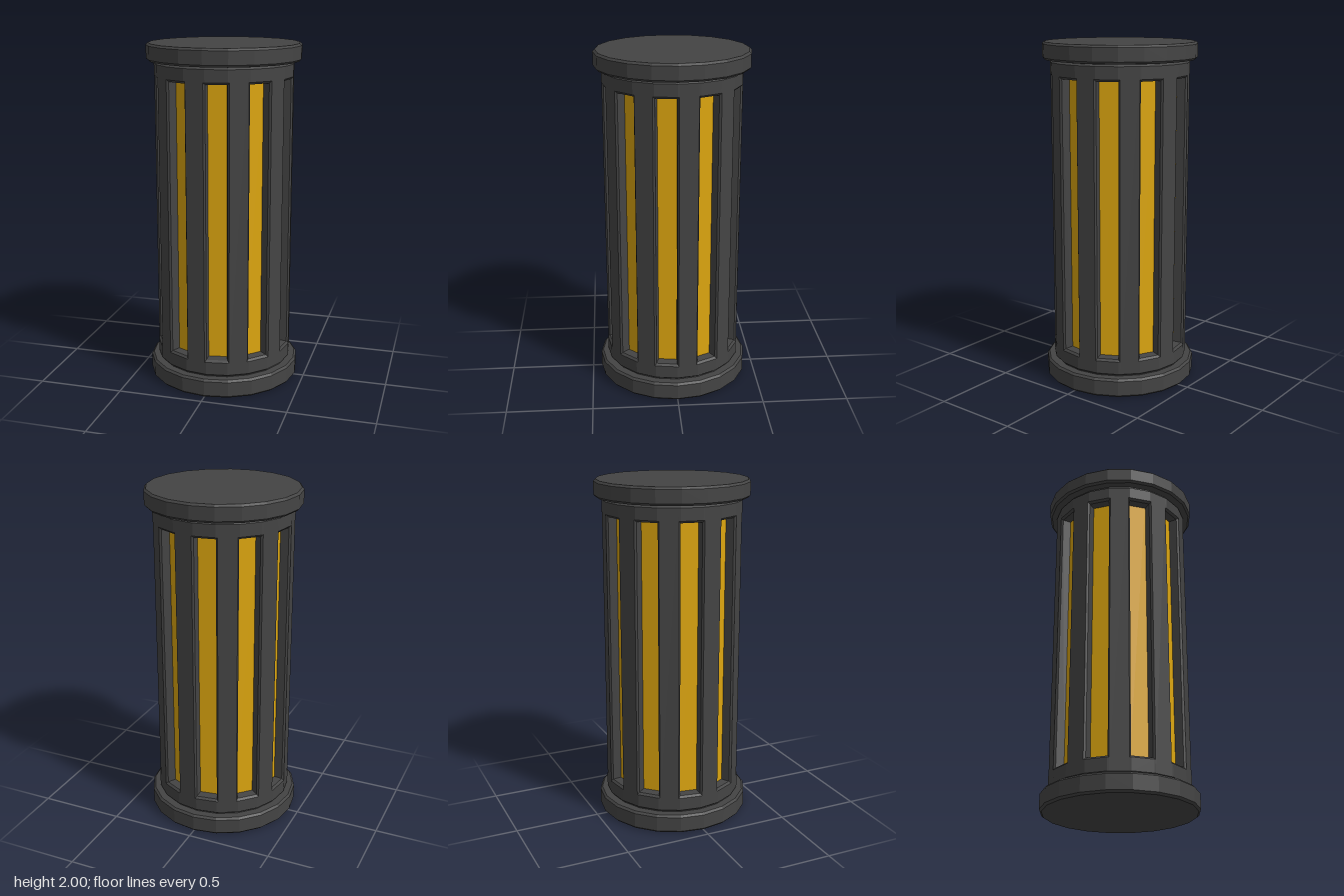
import * as THREE from 'three';

const DEG = Math.PI / 180;
const R = 0.403;       // corner radius of the 20-sided body
const CORE = 0.342;    // corner radius of the glowing core
const Y0 = 0.125, Y1 = 1.885;

// Point on a 20-sided prism: angle (degrees from +z towards +x), corner radius, height
function onPrism(a, r, y) {
  const mid = Math.floor(a / 18) * 18 + 9;
  const d = r * Math.cos(9 * DEG) / Math.cos((a - mid) * DEG);
  return [d * Math.sin(a * DEG), y, d * Math.cos(a * DEG)];
}

// Rib, frame and recess of one slot, repeated round the body
function slottedShell() {
  const pos = [];
  const same = (p, q) => p.every((v, i) => Math.abs(v - q[i]) < 1e-6);
  const tri = (a, b, c) => {
    if (!same(a, b) && !same(b, c) && !same(a, c)) pos.push(...a, ...b, ...c);
  };
  const quad = (a, b, c, d) => { tri(a, b, c); tri(a, c, d); };
  const ring = (o, n) => o.forEach((p, i) => {
    const j = (i + 1) % o.length;
    quad(p, o[j], n[j], n[i]);
  });
  const strip = (a0, a1, y0, y1) => quad(
    onPrism(a0, R, y0), onPrism(a1, R, y0), onPrism(a1, R, y1), onPrism(a0, R, y1));

  const b = 10.3, s0 = 0.2, s1 = 1.815;   // bevelled mouth of the slot
  for (let k = 0; k < 10; k++) {
    const c = 9 + 36 * k;
    // Rib, then the bands below and above the slot
    strip(c + b, c + 36 - b, Y0, Y1);
    const cuts = [-b, -9, 9, b];
    for (let i = 0; i < 3; i++) {
      strip(c + cuts[i], c + cuts[i + 1], Y0, s0);
      strip(c + cuts[i], c + cuts[i + 1], s1, Y1);
    }
    // Bevel and side walls
    const loop = (angles, r, y0, y1) => [
      ...angles.map(a => onPrism(c + a, r, y0)),
      ...angles.slice().reverse().map(a => onPrism(c + a, r, y1))];
    const inner = [-9, -9, 9, 9];
    const lip = loop(inner, R - 0.012, s0 + 0.012, s1 - 0.012);
    ring(loop(cuts, R, s0, s1), lip);
    ring(lip, loop(inner, CORE, s0 + 0.016, s1 - 0.014));
  }
  const g = new THREE.BufferGeometry();
  g.setAttribute('position', new THREE.Float32BufferAttribute(pos, 3));
  g.computeVertexNormals();
  return g;
}

// 20-sided turned part from [radius, height] pairs, bottom to top
const turned = profile =>
  new THREE.LatheGeometry(profile.map(p => new THREE.Vector2(...p)), 20);

export function createModel() {
  const group = new THREE.Group();
  const dark = new THREE.MeshStandardMaterial({ color: 0x444444, flatShading: true, side: THREE.DoubleSide });
  const yellow = new THREE.MeshStandardMaterial({ color: 0xdda60f, flatShading: true });
  const add = (name, geometry, material) => {
    const m = new THREE.Mesh(geometry, material);
    m.name = name;
    group.add(m);
    return m;
  };

  add('slottedBody', slottedShell(), dark);
  add('glowingCore', new THREE.CylinderGeometry(CORE, CORE, 1.7, 20, 1, true).translate(0, 1.005, 0), yellow);

  // Chamfered body ends
  add('lowerBodyEdge', turned([[0.39, 0.1], [0.39, 0.115], [R, Y0]]), dark);
  add('upperBodyEdge', turned([[R, Y1], [0.39, 1.895], [0.39, 1.91]]), dark);

  // End caps with chamfered rims
  const cap = (h) => turned([
    [0, 0], [0.435, 0], [0.447, 0.012], [0.447, h - 0.012], [0.435, h], [0, h]]);
  add('bottomCap', cap(0.11), dark);
  add('topCap', cap(0.1), dark).position.y = 1.9;

  return group;
}
